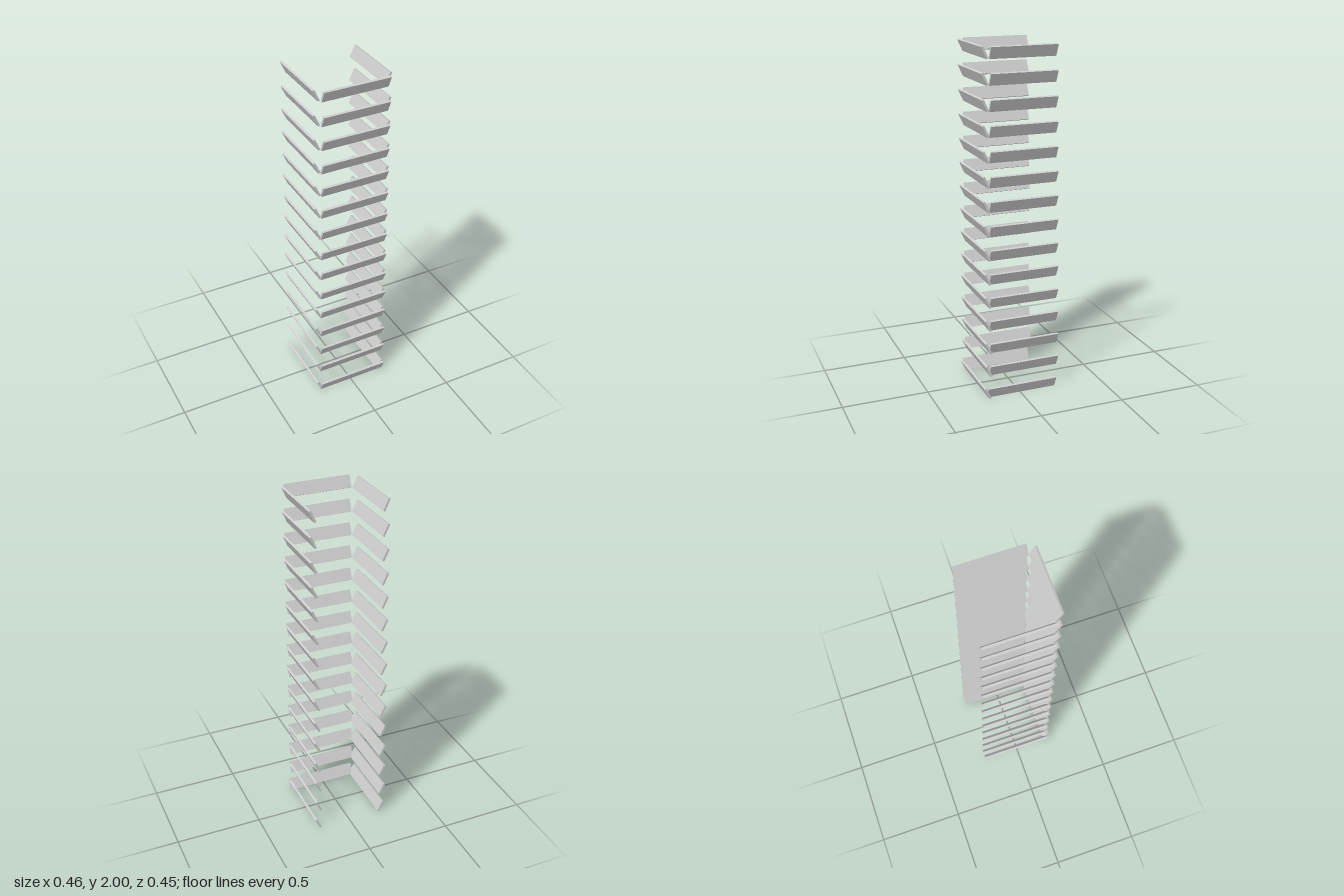
import * as THREE from 'three';

const ROWS = 15;
const SLAT_DEPTH = 0.071;
const SLAT_THICKNESS = 0.012;
const TILT = THREE.MathUtils.degToRad(25);

export function createModel() {
  const model = new THREE.Group();
  model.name = 'louvreTower';
  const material = new THREE.MeshStandardMaterial({ color: 0xcccccc, flatShading: true });

  // One tilted slat, facing +z before it is turned; its top edge leans outwards
  function addSlat(name, length, x, y, z, turn) {
    const slat = new THREE.Mesh(new THREE.BoxGeometry(length, SLAT_DEPTH, SLAT_THICKNESS), material);
    slat.name = name;
    slat.rotation.order = 'YXZ';
    slat.rotation.set(TILT, turn, 0);
    slat.position.set(x, y, z);
    model.add(slat);
  }

  for (let i = 0; i < ROWS; i++) {
    // Slats grow longer and drift slightly from the top row to the bottom
    const t = 1 - i / (ROWS - 1);
    const y = 0.036 + (1.964 - 0.036) * (i / (ROWS - 1));
    const length = 0.378 + 0.041 * t;
    const bottom = i === 0;
    const sideZ = bottom ? -0.006 : -0.007 - 0.011 * t;
    const frontZ = bottom ? 0.207 : 0.207 - 0.009 * t;

    addSlat('frontSlat', length, 0.01 - 0.004 * t, y, frontZ, 0);
    addSlat('leftSlat', length, 0.207 - 0.006 * t, y, sideZ, Math.PI / 2);
    addSlat('rightSlat', length, -0.202 - 0.006 * t, y, sideZ, -Math.PI / 2);
  }
  return model;
}
